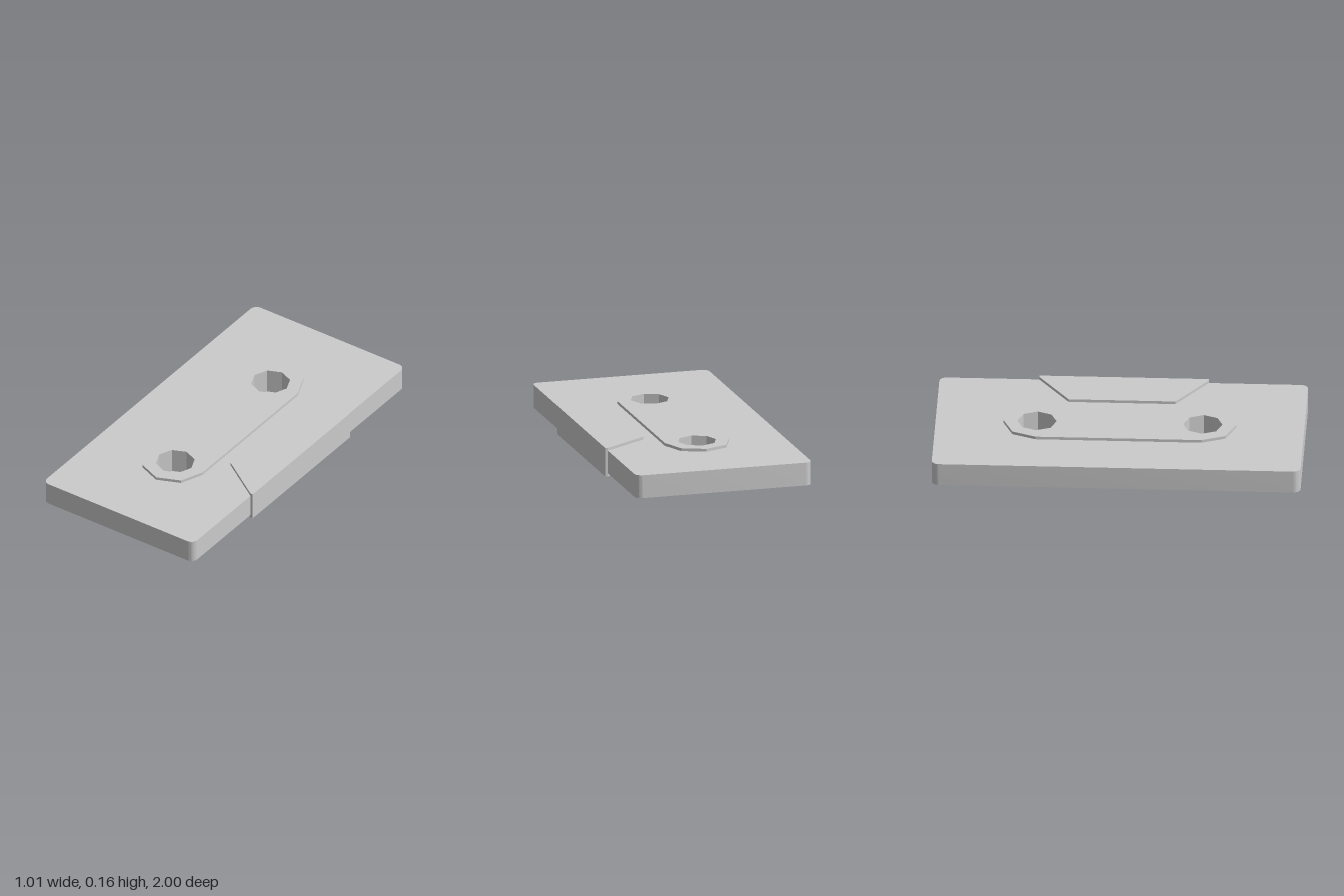
import * as THREE from 'three';
import { toCreasedNormals } from 'three/addons/utils/BufferGeometryUtils.js';

const CX = -0.015;                 // centre line of the slotted strip
const HOLE_Z = [-0.45, 0.45];
const material = new THREE.MeshStandardMaterial({ color: 0xcccccc });

// Corners of an octagon (or part of one) in plan
function octagonPoints(cz, radius, first, count) {
  return Array.from({ length: count }, (_, i) => {
    const a = (first + i) * Math.PI / 4;
    return new THREE.Vector2(CX + radius * Math.cos(a), cz + radius * Math.sin(a));
  });
}

// Extrude a plan outline (x, z) between two heights
function slab(shape, bottom, top) {
  const geometry = new THREE.ExtrudeGeometry(shape, {
    depth: top - bottom, bevelEnabled: false, curveSegments: 6,
  });
  return geometry.rotateX(Math.PI / 2).translate(0, top, 0);
}

function addHoles(shape) {
  for (const z of HOLE_Z) shape.holes.push(new THREE.Path(octagonPoints(z, 0.107, 0, 8)));
  return shape;
}

function plateShape() {
  const x0 = -0.505, x1 = 0.49, z = 1, r = 0.04;
  const s = new THREE.Shape();
  s.absarc(x1 - r, z - r, r, 0, Math.PI / 2);
  s.absarc(x0 + r, z - r, r, Math.PI / 2, Math.PI);
  s.absarc(x0 + r, -z + r, r, Math.PI, Math.PI * 1.5);
  s.absarc(x1 - r, -z + r, r, Math.PI * 1.5, Math.PI * 2);
  return s;
}

export function createModel() {
  const group = new THREE.Group();
  const add = (name, geometry) => {
    const mesh = new THREE.Mesh(geometry, material);
    mesh.name = name;
    group.add(mesh);
  };

  // Main plate with two octagonal wells
  add('plate', toCreasedNormals(slab(addHoles(plateShape()), 0.016, 0.144), 0.35));

  // Thin floors closing the wells at the underside
  HOLE_Z.forEach((z, i) => {
    add('wellFloor' + (i + 1), slab(new THREE.Shape(octagonPoints(z, 0.107, 0, 8)), 0.016, 0.02));
  });

  // Raised strips with faceted ends, above and below the plate
  const stripShape = () => addHoles(new THREE.Shape([
    ...octagonPoints(0.45, 0.181, 0, 5),
    ...octagonPoints(-0.45, 0.181, 4, 5),
  ]));
  add('upperStrip', slab(stripShape(), 0.144, 0.16));
  add('lowerStrip', slab(stripShape(), 0, 0.016));

  // Trapezoid block let into the left edge
  const block = new THREE.Shape([
    [0.24, -0.29], [0.49, -0.46], [0.505, -0.46],
    [0.505, 0.46], [0.49, 0.46], [0.24, 0.29],
  ].map(([x, z]) => new THREE.Vector2(x, z)));
  add('edgeBlock', slab(block, 0, 0.16));

  return group;
}
